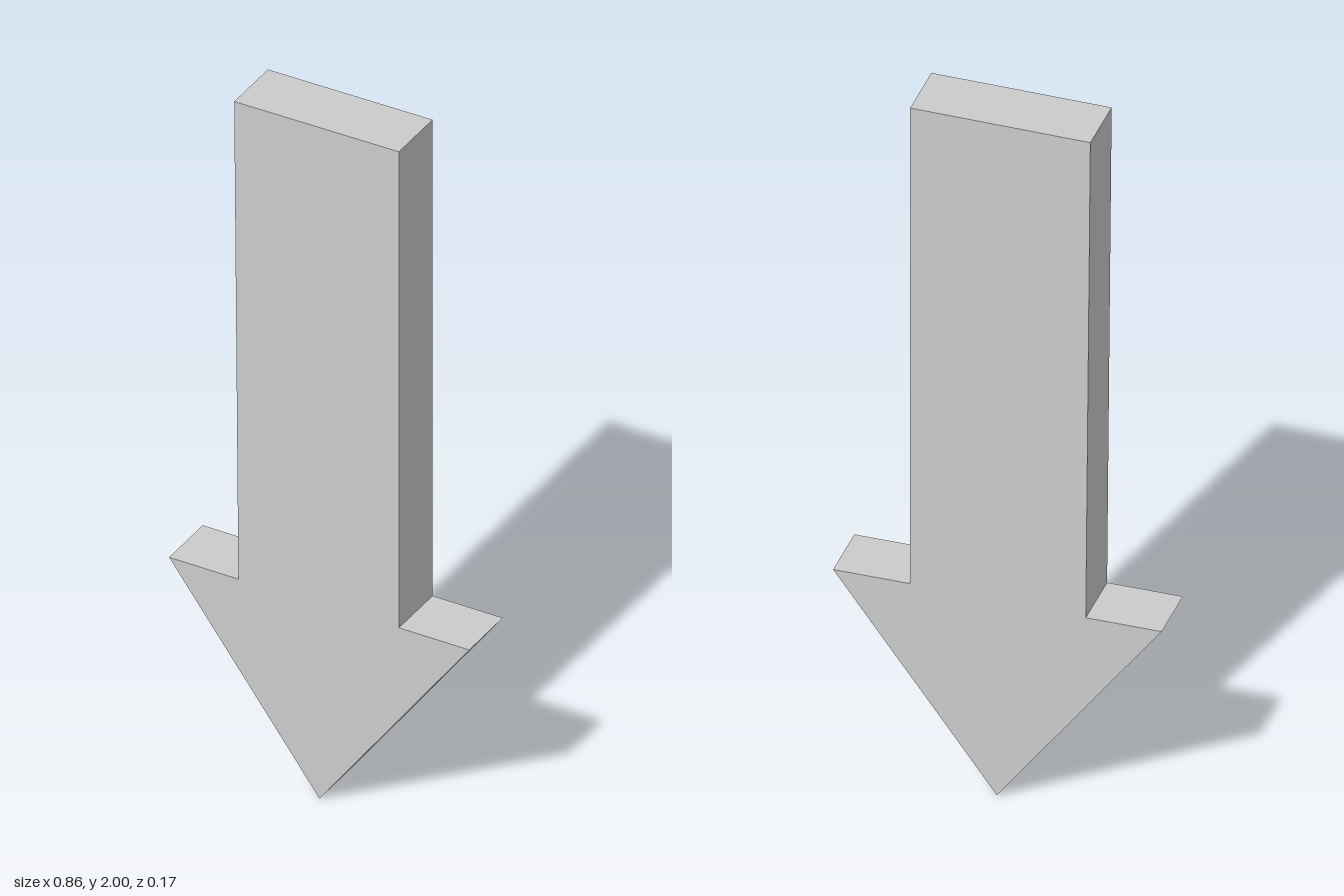
import * as THREE from 'three';

export function createModel() {
  const group = new THREE.Group();
  group.name = 'downArrow';

  // Arrow outline, counter-clockwise from the tip; the shaft is slightly skewed
  const outline = new THREE.Shape([
    [0, 0], [0.43, 0.583], [0.228, 0.583], [0.228, 2],
    [-0.245, 1.995], [-0.233, 0.577], [-0.432, 0.577],
  ].map(([x, y]) => new THREE.Vector2(x, y)));

  // Flat plate of even thickness, centred on z = 0
  const depth = 0.168;
  const geometry = new THREE.ExtrudeGeometry(outline, { depth, bevelEnabled: false });
  geometry.translate(0, 0, -depth / 2);

  const arrow = new THREE.Mesh(
    geometry,
    new THREE.MeshStandardMaterial({ color: 0xcccccc, flatShading: true }),
  );
  arrow.name = 'arrowPlate';
  group.add(arrow);
  return group;
}
